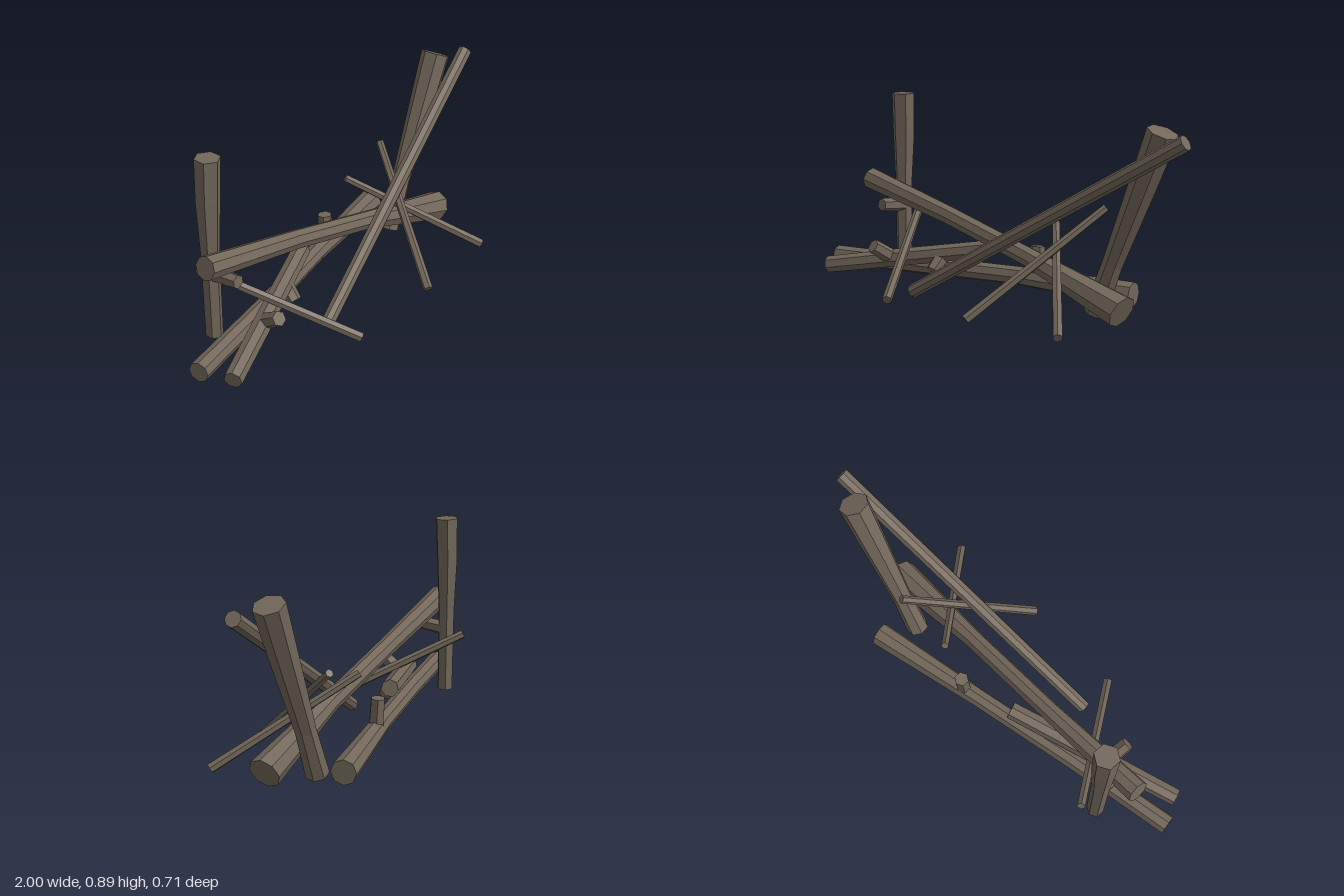
import * as THREE from 'three';

const wood = new THREE.MeshStandardMaterial({ color: 0x73675a });
wood.name = 'weathered wood';
wood.flatShading = true;

// A faceted log: stations are [x, y, z, radius] along its length.
function log(name, sides, stations, endDir) {
  const pts = stations.map(s => new THREE.Vector3(s[0], s[1], s[2]));
  const n = pts.length;
  const axis = pts[n - 1].clone().sub(pts[0]).normalize();
  const ref = Math.abs(axis.y) > 0.8 ? new THREE.Vector3(0, 0, 1) : new THREE.Vector3(0, 1, 0);
  const pos = [], index = [];
  pts.forEach((p, i) => {
    let t = pts[Math.min(i + 1, n - 1)].clone().sub(pts[Math.max(i - 1, 0)]).normalize();
    if (endDir && i === n - 1) t = new THREE.Vector3(...endDir).normalize();
    const u = ref.clone().addScaledVector(t, -ref.dot(t)).normalize();
    const v = new THREE.Vector3().crossVectors(t, u);
    for (let k = 0; k < sides; k++) {
      const a = (k / sides) * Math.PI * 2;
      const q = p.clone()
        .addScaledVector(u, Math.cos(a) * stations[i][3])
        .addScaledVector(v, Math.sin(a) * stations[i][3]);
      pos.push(q.x, q.y, q.z);
    }
  });
  // cap centres
  const first = n * sides, last = first + 1;
  pos.push(...pts[0].toArray(), ...pts[n - 1].toArray());
  for (let k = 0; k < sides; k++) {
    const k2 = (k + 1) % sides;
    for (let i = 0; i < n - 1; i++) {
      const a = i * sides + k, b = i * sides + k2;
      index.push(a, b, b + sides, a, b + sides, a + sides);
    }
    index.push(first, k2, k, last, (n - 1) * sides + k, (n - 1) * sides + k2);
  }
  const g = new THREE.BufferGeometry();
  g.setAttribute('position', new THREE.Float32BufferAttribute(pos, 3));
  g.setIndex(index);
  const flat = g.toNonIndexed();
  flat.computeVertexNormals();
  const mesh = new THREE.Mesh(flat, wood);
  mesh.name = name;
  return mesh;
}

export function createModel() {
  const group = new THREE.Group();
  group.name = 'logPile';
  group.add(
    // heavy trunks
    log('backLog', 8, [[-0.99, 0.1, 0.05, 0.045], [-0.5, 0.105, -0.055, 0.043],
      [0, 0.11, -0.175, 0.042], [0.555, 0.09, -0.305, 0.056]]),
    log('frontLog', 7, [[-0.92, 0.078, 0.17, 0.04], [-0.55, 0.145, 0.025, 0.042], [-0.155, 0.215, -0.13, 0.04]]),
    log('longLeaningLog', 8, [[-0.84, 0.48, -0.035, 0.052], [-0.3, 0.362, -0.04, 0.043],
      [0.2, 0.24, -0.035, 0.043], [0.715, 0.088, -0.033, 0.072]], [0.9, -0.4, 0]),
    // upright posts
    log('leftPost', 6, [[-0.715, 0.06, -0.13, 0.038], [-0.715, 0.45, -0.13, 0.04],
      [-0.712, 0.7, -0.13, 0.052], [-0.708, 0.89, -0.125, 0.055]]),
    log('rightPost', 7, [[0.485, 0.03, -0.14, 0.052], [0.575, 0.25, -0.14, 0.045],
      [0.73, 0.6, -0.14, 0.06], [0.825, 0.82, -0.14, 0.068]]),
    // long pole
    log('longPole', 8, [[-0.33, 0.04, 0.165, 0.031], [0.98, 0.795, -0.083, 0.034]]),
    // thin sticks
    log('leftStick', 6, [[-0.705, 0.345, -0.225, 0.02], [-0.31, 0.03, 0.335, 0.022]]),
    log('middleStick', 6, [[0.485, 0.47, -0.2, 0.018], [0.175, 0.025, 0.325, 0.022]]),
    log('rightStick', 6, [[0.215, 0.395, -0.185, 0.018], [0.65, 0.025, 0.28, 0.022]]),
    // broken branch stubs
    log('postStub', 6, [[-0.71, 0.36, -0.12, 0.034], [-0.708, 0.372, 0.015, 0.03]]),
    log('frontLogStub', 6, [[-0.6, 0.13, 0.03, 0.036], [-0.617, 0.205, 0.15, 0.033]]),
    log('lowerStub', 6, [[-0.36, 0.17, -0.05, 0.036], [-0.365, 0.105, 0.01, 0.032]]),
    log('backLogStub', 6, [[0.09, 0.1, -0.195, 0.035], [0.09, 0.253, -0.205, 0.033]])
  );
  return group;
}
